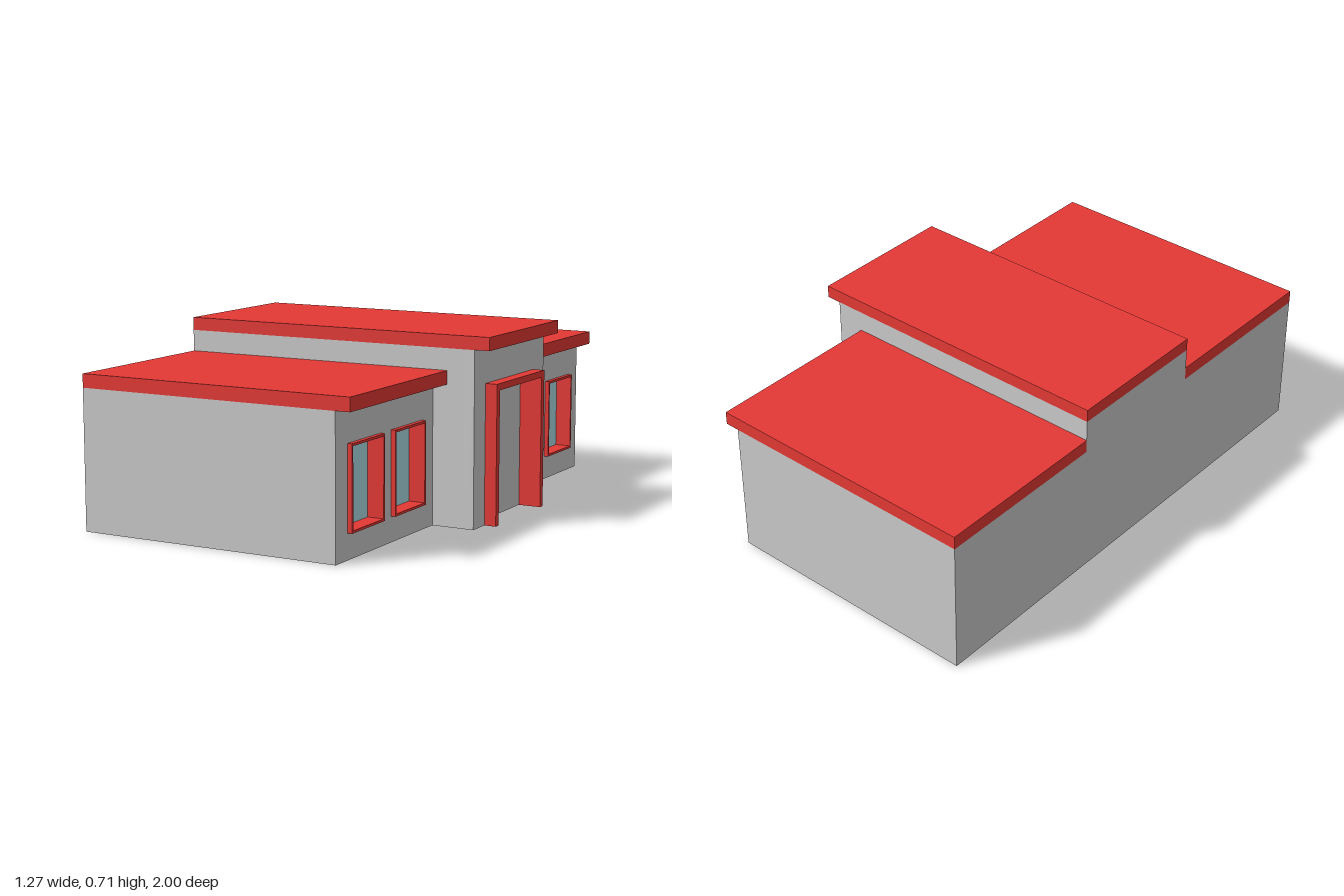
import * as THREE from 'three';

const mat = (color) => new THREE.MeshStandardMaterial({ color });
const wallMat = mat(0xcccccc);
const redMat = mat(0xe53935);
const glassMat = mat(0xb0e0e6);

const BACK = -0.634;

// Box given by its limits on each axis
function box(name, material, [x0, x1], [y0, y1], [z0, z1]) {
  const mesh = new THREE.Mesh(new THREE.BoxGeometry(x1 - x0, y1 - y0, z1 - z0), material);
  mesh.position.set((x0 + x1) / 2, (y0 + y1) / 2, (z0 + z1) / 2);
  mesh.name = name;
  return mesh;
}

// Outline drawn in (z, y); u = -z so that the extrusion can be turned to face +x
const points = (list) => list.map(([z, y]) => new THREE.Vector2(-z, y));
const rect = (z0, z1, y0, y1) => points([[z0, y0], [z0, y1], [z1, y1], [z1, y0]]);

// Panel facing +x, from x0 to x1, with optional holes
function panel(name, material, outline, holes, x0, x1) {
  const shape = new THREE.Shape(outline);
  shape.holes = holes.map((h) => new THREE.Path(h));
  const geometry = new THREE.ExtrudeGeometry(shape, { depth: x1 - x0, bevelEnabled: false });
  geometry.rotateY(Math.PI / 2).translate(x0, 0, 0);
  const mesh = new THREE.Mesh(geometry, material);
  mesh.name = name;
  return mesh;
}

// Doorway-shaped outline: a wall or frame around an opening that reaches the ground
const arch = (z0, z1, top, i0, i1, iTop) =>
  points([[z0, 0], [z0, top], [z1, top], [z1, 0], [i1, 0], [i1, iTop], [i0, iTop], [i0, 0]]);

// Low side wing with two recessed, framed windows
function wing(name, z0, z1, windowCentres) {
  const group = new THREE.Group();
  group.name = name;
  const glassX = 0.36, front = 0.407;
  const half = 0.115, y0 = 0.094, y1 = 0.403, t = 0.009;

  group.add(box('wingBody', wallMat, [BACK, glassX - 0.006], [0, 0.525], [z0, z1]));
  const openings = windowCentres.map((c) => rect(c - half, c + half, y0, y1));
  group.add(panel('wingFrontWall', wallMat, rect(z0, z1, 0, 0.525), openings, glassX - 0.006, front));
  group.add(box('wingRoof', redMat, [BACK, 0.464], [0.525, 0.576], [z0, z1]));

  windowCentres.forEach((c, i) => {
    const inner = rect(c - half + t, c + half - t, y0 + t, y1 - t);
    group.add(panel('windowFrame', redMat, openings[i], [inner], glassX - 0.005, 0.424));
    group.add(panel('windowGlass', glassMat, inner, [], glassX - 0.005, glassX));
  });
  return group;
}

// Taller middle block with a recessed doorway
function entrance(z0, z1) {
  const group = new THREE.Group();
  group.name = 'entrance';
  const doorX = 0.532, front = 0.574;
  const d0 = -0.203, d1 = 0.209, top = 0.525, t = 0.025;

  group.add(box('entranceBody', wallMat, [BACK, doorX], [0, 0.657], [z0, z1]));
  group.add(panel('entranceFrontWall', wallMat, arch(z0, z1, 0.657, d0, d1, top), [], doorX, front));
  group.add(panel('doorFrame', redMat, arch(d0, d1, top, d0 + t, d1 - t, top - t), [], doorX, 0.62));
  group.add(box('entranceRoof', redMat, [BACK, 0.633], [0.657, 0.706], [z0, z1]));
  return group;
}

export function createModel() {
  const model = new THREE.Group();
  model.name = 'building';
  const midBack = -0.294, midFront = 0.3;
  model.add(wing('leftWing', midFront, 1, [0.499, 0.804]));
  model.add(wing('rightWing', -1, midBack, [-0.801, -0.496]));
  model.add(entrance(midBack, midFront));
  return model;
}
